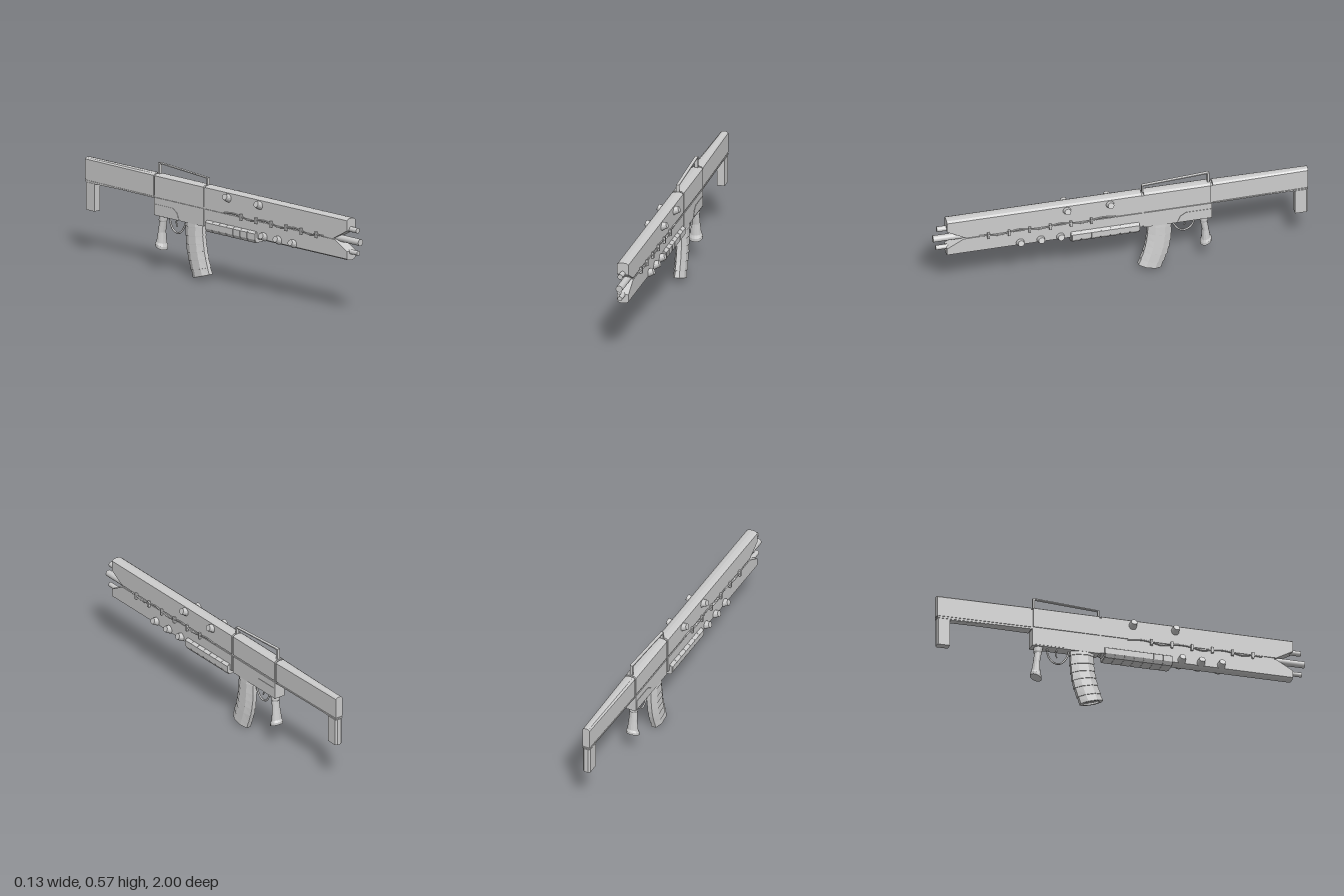
import * as THREE from 'three';

export function createModel() {
  const root = new THREE.Group();
  const mat = new THREE.MeshStandardMaterial({ color: 0xcccccc, flatShading: true });
  const smooth = new THREE.MeshStandardMaterial({ color: 0xcccccc });

  const add = (name, geo, m = mat) => {
    const mesh = new THREE.Mesh(geo, m);
    mesh.name = name;
    root.add(mesh);
    return mesh;
  };
  const box = (name, x, y, z, w, h, d) => add(name, new THREE.BoxGeometry(w, h, d).translate(x, y, z));
  const shape = pts => new THREE.Shape(pts.map(p => new THREE.Vector2(...p)));
  // side profile of [z, y] points, extruded across the width
  const side = (pts, width) => new THREE.ExtrudeGeometry(shape(pts), { depth: width, bevelEnabled: false })
    .translate(0, 0, -width / 2).rotateY(-Math.PI / 2);
  // cross-section of [x, y] points, extruded from z0 to z1
  const prism = (pts, z0, z1) => new THREE.ExtrudeGeometry(shape(pts), { depth: z1 - z0, bevelEnabled: false })
    .translate(0, 0, z0);
  const rod = (name, y, r, z0, z1) =>
    add(name, new THREE.CylinderGeometry(r, r, z1 - z0, 20).rotateX(Math.PI / 2).translate(0, y, (z0 + z1) / 2), smooth);
  const tube = (name, pts, r, n) => add(name, new THREE.TubeGeometry(
    new THREE.CatmullRomCurve3(pts.map(p => new THREE.Vector3(...p))), n, r, 8), smooth);

  // rounded ridge along an upper or lower edge
  const ridge = (w, y, h) => [[-w, y], [w, y], [w, y + h * 0.4], [w * 0.62, y + h * 0.87], [0, y + h],
    [-w * 0.62, y + h * 0.87], [-w, y + h * 0.4]];

  // long fore body: two halves with a notched muzzle
  const W = 0.031;
  add('upperBody', side([[-0.11, 0.4], [0.84, 0.4], [0.93, 0.45], [0.93, 0.5], [-0.11, 0.5]], 2 * W));
  add('upperBodyRidge', prism(ridge(W, 0.499, 0.016), -0.11, 0.93));
  add('lowerBody', side([[-0.11, 0.306], [0.93, 0.306], [0.93, 0.34], [0.84, 0.39], [-0.11, 0.39]], 2 * W));
  add('lowerBodyRidge', prism(ridge(W, 0.307, -0.017), -0.11, 0.93));
  box('innerCore', 0, 0.4, 0.175, 0.052, 0.2, 1.31);

  // receiver behind a narrow gap
  add('upperReceiver', side([[-0.48, 0.4], [-0.122, 0.4], [-0.122, 0.5], [-0.48, 0.5]], 2 * W));
  add('upperReceiverRidge', prism(ridge(W, 0.499, 0.016), -0.48, -0.122));
  add('lowerReceiver', side([[-0.485, 0.295], [-0.122, 0.295], [-0.122, 0.39], [-0.485, 0.39]], 2 * W));
  add('receiverPanel', side([[-0.478, 0.3], [-0.3, 0.3], [-0.315, 0.335], [-0.345, 0.355], [-0.478, 0.355]], 0.066));

  // stock, narrowing to the rear
  const taper = geo => {
    const p = geo.attributes.position;
    for (let i = 0; i < p.count; i++) {
      const t = THREE.MathUtils.clamp((-0.49 - p.getZ(i)) / 0.51, 0, 1);
      p.setX(i, p.getX(i) * (1 - 0.28 * t));
    }
    geo.computeVertexNormals();
    return geo;
  };
  add('stock', taper(side([[-1, 0.398], [-0.49, 0.398], [-0.49, 0.5], [-1, 0.5]], 0.058)));
  add('stockRidge', taper(prism(ridge(0.029, 0.499, 0.016), -1, -0.49)));
  add('stockSeam', taper(side([[-0.995, 0.38], [-0.47, 0.39], [-0.47, 0.5], [-0.995, 0.5]], 0.05)));
  add('stockLowerRail', taper(side([[-1, 0.386], [-0.49, 0.386], [-0.49, 0.393], [-1, 0.393]], 0.058)));
  add('buttLeg', prism([[-0.021, -0.93], [-0.021, -0.992], [-0.012, -1], [0.012, -1], [0.021, -0.992], [0.021, -0.93]]
    .map(([x, z]) => [x, -z]).reverse(), 0, 0.148).rotateX(-Math.PI / 2).translate(0, 0.235, 0));

  // muzzle rods
  rod('upperMuzzleRod', 0.455, 0.014, 0.8, 0.98);
  rod('middleMuzzleRod', 0.395, 0.018, 0.8, 1);
  rod('lowerMuzzleRod', 0.335, 0.0125, 0.8, 0.985);

  // side knobs, cable clips and cables on both sides
  const clips = [0.71, 0.6, 0.49, 0.38, 0.27, 0.16];
  for (const s of [1, -1]) {
    const knob = (y, z) => {
      const m = add('sideKnob', new THREE.CylinderGeometry(0.0165, 0.023, 0.036, 14));
      m.rotation.z = -s * 1.23;
      m.position.set(s * 0.041, y, z);
    };
    [0.29, 0.06].forEach(z => knob(0.483, z));
    [0.54, 0.43, 0.325].forEach(z => knob(0.32, z));
    clips.forEach(z => {
      box('cableClip', s * 0.036, 0.394, z, 0.016, 0.033, 0.012);
    });
    const pts = [[s * 0.03, 0.395, 0.76]];
    for (let i = 0; i < clips.length; i++) {
      pts.push([s * 0.035, 0.395, clips[i]], [s * 0.033, i % 2 ? 0.402 : 0.386, clips[i] - 0.055]);
    }
    pts.push([s * 0.03, 0.395, 0.03]);
    tube('cable', pts, 0.004, 80);
  }

  // lower handguard with ribs
  const guard = (e, z0, z1) => prism([[-0.034 - e, 0.276 - e], [0.034 + e, 0.276 - e], [0.047 + e, 0.293],
    [0.047 + e, 0.325], [0.03, 0.333 + e], [-0.03, 0.333 + e], [-0.047 - e, 0.325], [-0.047 - e, 0.293]], z0, z1);
  add('handguard', guard(0, -0.095, 0.272));
  for (let i = 0; i < 7; i++) add('handguardPanel', guard(0.002, -0.092 + i * 0.052, -0.046 + i * 0.052));

  // rail sight: front post, rising bar, rear post
  add('topHandle', side([[-0.122, 0.51], [-0.122, 0.548], [-0.465, 0.568], [-0.465, 0.51], [-0.476, 0.51],
    [-0.476, 0.574], [-0.462, 0.574], [-0.114, 0.552], [-0.114, 0.51]].reverse(), 0.017));

  // closed loft: each ring is [front z, front y, back z, back y, half width, squareness, inset]
  const loft = (rings, n) => {
    const pos = [], idx = [];
    rings.forEach(([zf, yf, zb, yb, w, q, k = 1]) => {
      for (let i = 0; i < n; i++) {
        const a = (i + 0.5) * 2 * Math.PI / n;
        const bend = v => Math.sign(v) * Math.min(1, Math.abs(v) * q) * k;
        const d = 0.5 + bend(Math.sin(a)) / 2;
        pos.push(w * bend(Math.cos(a)), yb + (yf - yb) * d, zb + (zf - zb) * d);
      }
    });
    for (let r = 0; r < rings.length - 1; r++) for (let i = 0; i < n; i++) {
      const a = r * n + i, b = r * n + (i + 1) % n;
      idx.push(a, b, a + n, b, b + n, a + n);
    }
    const g = new THREE.BufferGeometry();
    g.setAttribute('position', new THREE.Float32BufferAttribute(pos, 3));
    g.setIndex(idx);
    g.computeVertexNormals();
    return g;
  };
  const curve = pts => new THREE.SplineCurve(pts.map(p => new THREE.Vector2(...p)));

  // curved magazine with stepped bands and a hollow foot
  const mf = curve([[-0.147, 0.31], [-0.143, 0.22], [-0.127, 0.13], [-0.097, 0.036]]);
  const mb = curve([[-0.273, 0.31], [-0.27, 0.2], [-0.252, 0.1], [-0.215, 0.002]]);
  const magRing = (t, w, k = 1) => {
    const f = mf.getPoint(t), b = mb.getPoint(t);
    return [f.x, f.y, b.x, b.y, w, 1.08, k];
  };
  const magRings = [];
  for (let i = 0; i < 7; i++) {
    magRings.push(magRing(i / 7, 0.029, 0.97), magRing((i + 0.93) / 7, 0.031, 1.02), magRing((i + 0.94) / 7, 0.029, 0.97));
  }
  magRings.push(magRing(1, 0.03), magRing(1, 0.03, 0.72), magRing(0.95, 0.03, 0.72), magRing(0.95, 0.03, 0));
  add('magazine', loft(magRings, 8));

  // flared pistol grip
  const foot = k => [-0.428, 0.112, -0.489, 0.136, 0.036, 1, k];
  add('grip', loft([[-0.418, 0.31, -0.468, 0.31, 0.024, 1], [-0.425, 0.27, -0.47, 0.27, 0.024, 1],
    [-0.428, 0.262, -0.466, 0.262, 0.021, 1], [-0.438, 0.205, -0.473, 0.21, 0.024, 1],
    [-0.434, 0.145, -0.482, 0.16, 0.03, 1], [-0.428, 0.128, -0.489, 0.15, 0.036, 1], foot(1), foot(0)], 14));

  // trigger and its guard
  tube('triggerGuard', [[0, 0.3, -0.278], [0, 0.265, -0.288], [0, 0.228, -0.315], [0, 0.218, -0.34],
    [0, 0.228, -0.37], [0, 0.26, -0.392], [0, 0.3, -0.398]], 0.005, 32);
  tube('trigger', [[0, 0.3, -0.345], [0, 0.27, -0.35], [0, 0.25, -0.342]], 0.004, 10);
  return root;
}
